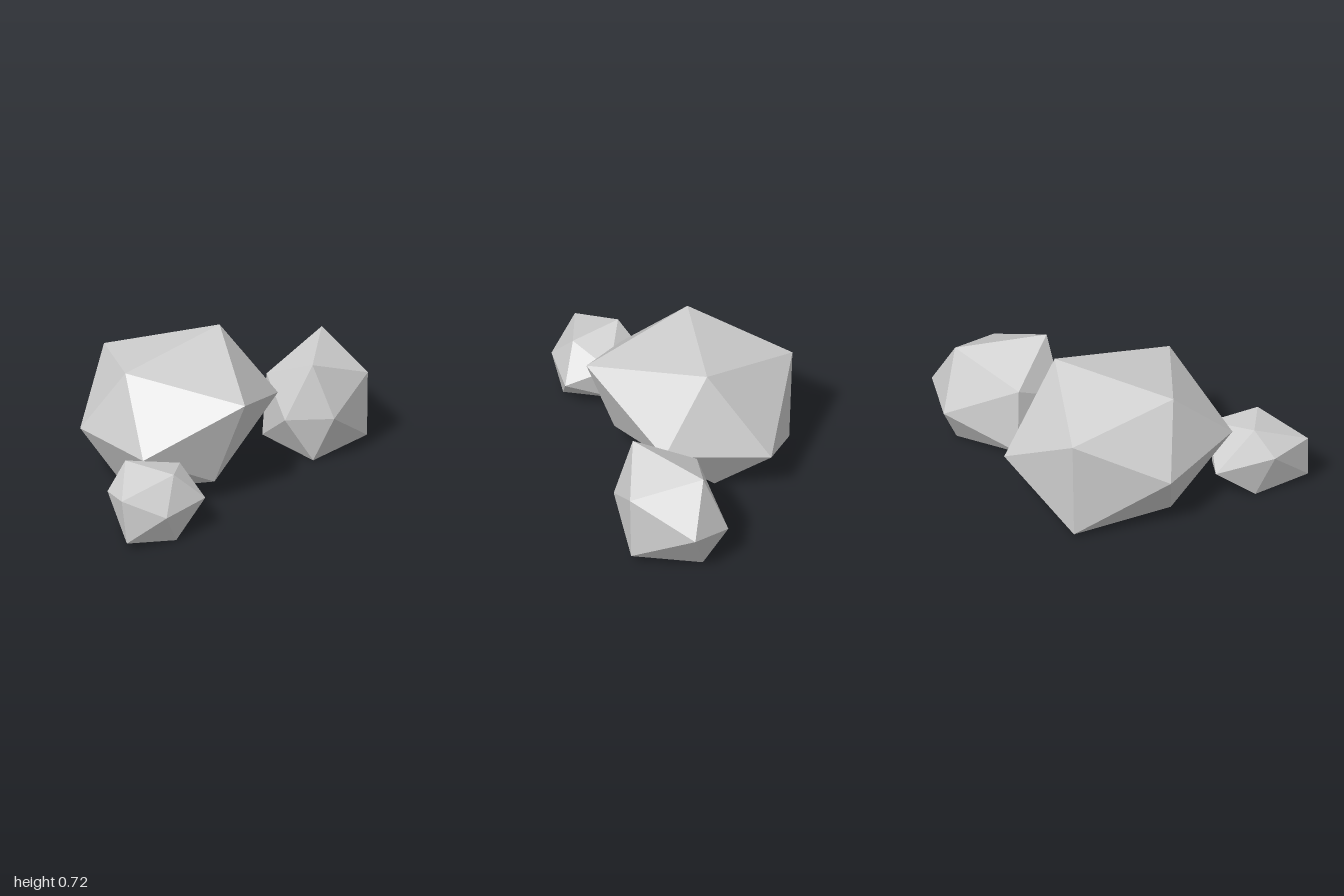
import * as THREE from 'three';

// Faceted boulder with twenty faces: a crown point, an upper ring and a lower ring
// of five points each (counterclockwise from above), and a foot point.
function makeRock(name, material, crown, upper, lower, foot) {
  const positions = [];
  const face = (...corners) => corners.forEach((c) => positions.push(...c));
  for (let i = 0; i < 5; i++) {
    const j = (i + 1) % 5;
    face(crown, upper[i], upper[j]);
    face(upper[i], lower[i], upper[j]);
    face(lower[i], lower[j], upper[j]);
    face(foot, lower[j], lower[i]);
  }
  const geometry = new THREE.BufferGeometry();
  geometry.setAttribute('position', new THREE.Float32BufferAttribute(positions, 3));
  geometry.computeVertexNormals(); // unshared corners give flat facets
  const mesh = new THREE.Mesh(geometry, material);
  mesh.name = name;
  return mesh;
}

export function createModel() {
  const group = new THREE.Group();
  group.name = 'rockCluster';
  const stone = new THREE.MeshStandardMaterial({ color: 0xd0d0d0 });
  stone.name = 'stoneGrey';

  // Large boulder in the middle
  group.add(makeRock('largeRock', stone,
    [-0.48, 0.668, -0.08],
    [[0.203, 0.722, -0.088], [-0.15, 0.563, -0.582], [-0.582, 0.31, -0.31], [-0.66, 0.335, 0.24], [-0.17, 0.573, 0.49]],
    [[0.335, 0.265, -0.405], [-0.15, 0.02, -0.565], [-0.465, 0, -0.08], [-0.24, 0.113, 0.335], [0.383, 0.36, 0.16]],
    [0.17, 0, -0.13]));

  // Medium rock on the +x side
  group.add(makeRock('mediumRock', stone,
    [0.463, 0.548, 0.335],
    [[0.8, 0.418, 0.396], [0.833, 0.542, 0.018], [0.455, 0.39, 0], [0.337, 0.248, 0.26], [0.515, 0.26, 0.442]],
    [[1, 0.27, 0.083], [0.833, 0.21, -0.112], [0.448, 0.035, -0.025], [0.472, 0, 0.33], [0.8, 0.06, 0.39]],
    [0.825, 0, 0.02]));

  // Small rock on the -x side, leaning on the large one
  group.add(makeRock('smallRock', stone,
    [-0.787, 0.38, 0.24],
    [[-0.478, 0.295, 0.325], [-0.65, 0.168, 0.07], [-0.91, 0.243, 0.235], [-1, 0.28, 0.435], [-0.68, 0.348, 0.49]],
    [[-0.518, 0.08, 0.29], [-0.8, 0, 0.225], [-0.987, 0.045, 0.46], [-0.82, 0.175, 0.582], [-0.515, 0.185, 0.553]],
    [-0.708, 0, 0.537]));

  return group;
}
